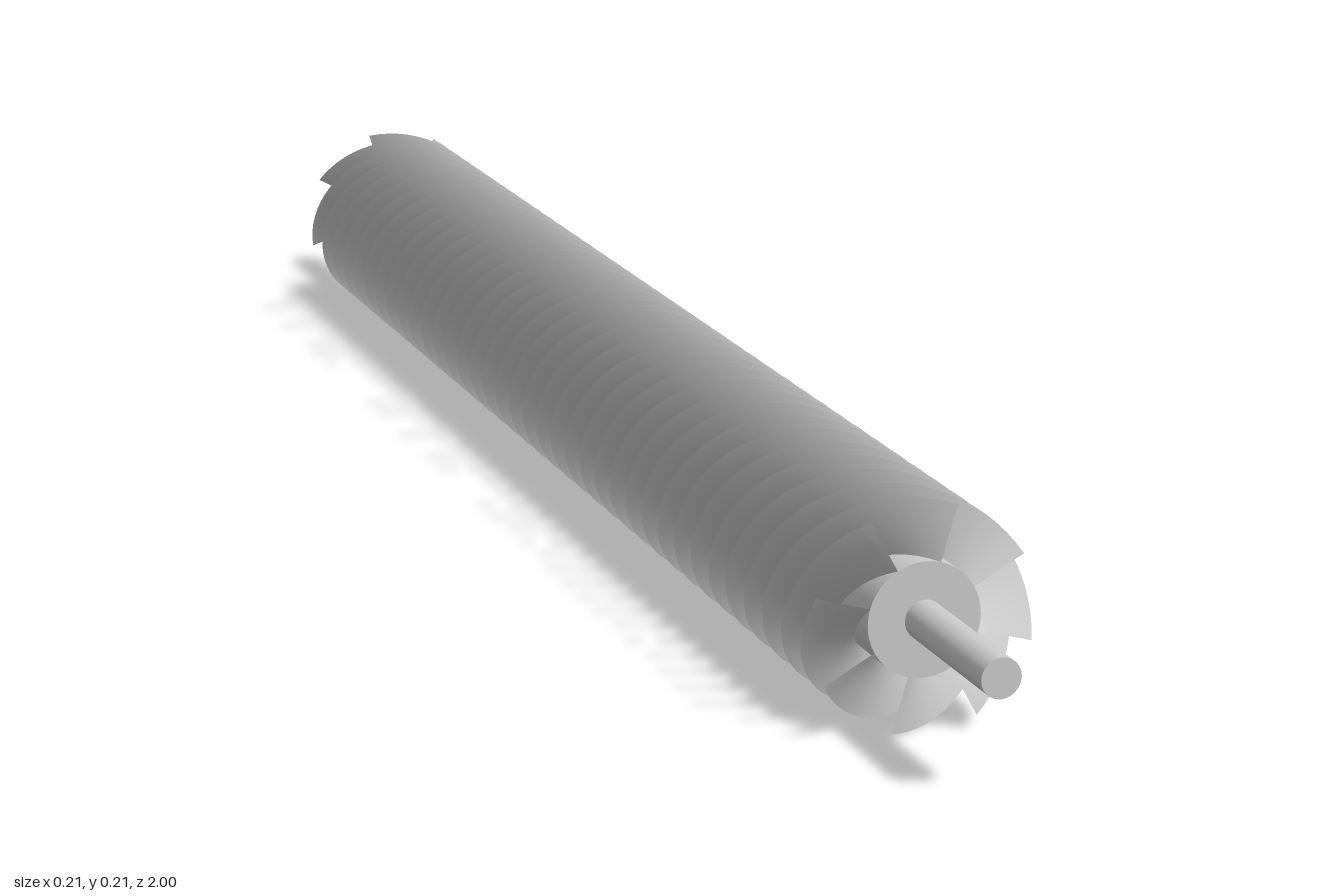
import * as THREE from 'three';

const R = 0.104;          // blade tip radius, also axis height
const CORE = 0.052;       // core radius
const HALF = 0.835;       // half length of the bladed part
const STARTS = 8;         // number of helical blades
const TURN = 35.71 * Math.PI / 4;               // twist of a blade over the full length
const FRONT_ANGLE = THREE.MathUtils.degToRad(74); // where the first blade meets the front end

// A thin helical sheet from the core out to the tip radius
function bladeGeometry() {
  const geo = new THREE.PlaneGeometry(1, 1, 2, 288);
  const p = geo.attributes.position;
  for (let i = 0; i < p.count; i++) {
    const r = THREE.MathUtils.lerp(CORE - 0.001, R, p.getX(i) + 0.5);
    const t = p.getY(i) + 0.5;
    const a = FRONT_ANGLE + TURN * t;
    p.setXYZ(i, r * Math.cos(a), r * Math.sin(a), HALF - 2 * HALF * t);
  }
  geo.computeVertexNormals();
  return geo;
}

export function createModel() {
  const model = new THREE.Group();
  model.name = 'helicalRoller';
  const solid = new THREE.MeshStandardMaterial({ color: 0xcccccc });
  const sheet = new THREE.MeshStandardMaterial({ color: 0xcccccc, side: THREE.DoubleSide });

  const roller = new THREE.Group();
  roller.name = 'roller';
  roller.position.y = R;
  model.add(roller);

  const rod = (name, radius, length, z) => {
    const mesh = new THREE.Mesh(new THREE.CylinderGeometry(radius, radius, length, 48), solid);
    mesh.name = name;
    mesh.rotation.x = Math.PI / 2;
    mesh.position.z = z;
    roller.add(mesh);
  };

  // Core and the two stub shafts
  rod('core', CORE, 2 * HALF, 0);
  const stub = 1 - HALF;
  rod('frontShaft', 0.018, stub, HALF + stub / 2);
  rod('backShaft', 0.018, stub, -HALF - stub / 2);

  // Helical blades, evenly spaced around the core
  const blade = bladeGeometry();
  for (let i = 0; i < STARTS; i++) {
    const mesh = new THREE.Mesh(blade, sheet);
    mesh.name = `blade${i + 1}`;
    mesh.rotation.z = (i / STARTS) * Math.PI * 2;
    roller.add(mesh);
  }
  return model;
}
